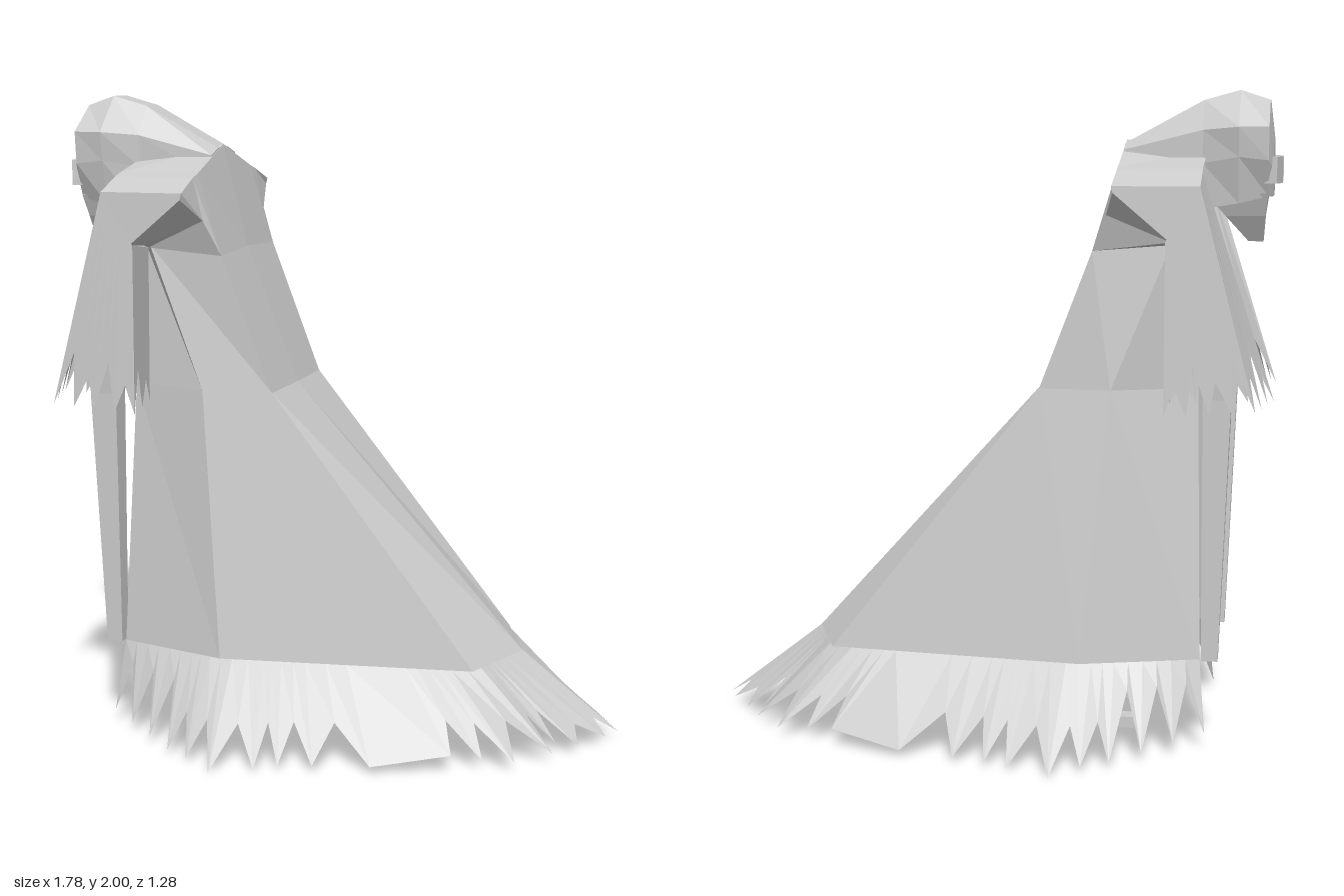
import * as THREE from 'three';

const V = (p) => new THREE.Vector3(...p);
const flip = (p) => [p[0], p[1], -p[2]];
// A half outline (ending on z = 0) completed with its mirror image.
const whole = (half) => [...half, ...half.slice(0, -1).reverse().map(flip)];

function material() {
  return new THREE.MeshStandardMaterial({ color: 0xcccccc, flatShading: true, side: THREE.DoubleSide });
}

function mesh(name, geometry) {
  const m = new THREE.Mesh(geometry, material());
  m.name = name;
  return m;
}

// Skin between rows of points; closed rows wrap round and may be capped.
function loft(rows, closed = false, caps = false) {
  const pos = [];
  const tri = (a, b, c) => pos.push(...a, ...b, ...c);
  const n = rows[0].length;
  for (let r = 0; r < rows.length - 1; r++) {
    for (let i = 0; i < (closed ? n : n - 1); i++) {
      const j = (i + 1) % n;
      const [a, b, c, d] = [rows[r][i], rows[r][j], rows[r + 1][j], rows[r + 1][i]];
      tri(a, b, c);
      tri(a, c, d);
    }
  }
  if (caps) {
    const [s, e] = [rows[0], rows[rows.length - 1]];
    for (let i = 1; i < n - 1; i++) {
      tri(s[0], s[i + 1], s[i]);
      tri(e[0], e[i], e[i + 1]);
    }
  }
  const g = new THREE.BufferGeometry();
  g.setAttribute('position', new THREE.Float32BufferAttribute(pos, 3));
  g.computeVertexNormals();
  return g;
}

// Points along a polyline at the given fractions of its length.
function sample(line, fractions) {
  const path = new THREE.CurvePath();
  for (let i = 1; i < line.length; i++) path.add(new THREE.LineCurve3(V(line[i - 1]), V(line[i])));
  return fractions.map((f) => path.getPointAt(Math.min(f, 0.99999)).toArray());
}

function lengths(line) {
  const d = [0];
  for (let i = 1; i < line.length; i++) d.push(d[i - 1] + V(line[i]).distanceTo(V(line[i - 1])));
  return d.map((x) => x / d[d.length - 1]);
}

const mix = (a, b, t) => a.map((v, i) => v + (b[i] - v) * t);

// Robe: open at the front, with a long train behind.
const hemRing = [[-0.67, 0.27, 0.25], [-0.31, 0.27, 0.36], [0.48, 0.27, 0.27], [0.58, 0.27, 0]];
function robe() {
  return mesh('robe', loft([
    [[-0.63, 1.55, 0.13], [-0.57, 1.55, 0.24], [-0.33, 1.52, 0.25], [-0.33, 1.53, 0]],
    [[-0.65, 1.1, 0.17], [-0.39, 1.1, 0.27], [-0.17, 1.1, 0.245], [-0.165, 1.1, 0]],
    hemRing,
  ].map(whole)));
}

// Torn hem: flared tips with notches pulled back towards the robe.
function hem() {
  const tips = [[-0.69, 0.05, 0.3], [-0.6, 0.04, 0.38], [-0.51, 0.03, 0.46], [-0.42, 0.02, 0.54],
    [-0.34, 0.02, 0.59], [-0.25, 0, 0.64], [-0.12, 0.01, 0.6], [-0.05, 0.02, 0.58], [0.05, 0.02, 0.55],
    [0.22, 0.02, 0.51], [0.45, 0.05, 0.425], [0.54, 0.03, 0.39], [0.635, 0.03, 0.375],
    [0.73, 0.03, 0.26], [0.73, 0.04, 0.2], [0.79, 0.03, 0.165], [0.86, 0.03, 0.06], [0.89, 0.03, 0]];
  const at = lengths(tips);
  const upper = sample(hemRing, at);
  const top = [], low = [];
  tips.forEach((tip, i) => {
    top.push(upper[i]);
    low.push(tip);
    if (i === tips.length - 1 || i === 9) return; // one plain stretch
    const t = mix(upper[i], upper[i + 1], 0.5);
    top.push(t);
    // Deep notches in front, shallow ones at the very tail
    const depth = i < 3 ? 0.7 : i > 14 ? 0.2 : 0.42;
    low.push(mix(mix(tip, tips[i + 1], 0.5), t, depth));
  });
  return mesh('tornHem', loft([whole(top), whole(low)]));
}

// Shoulder yoke, sloping down to both sleeves.
function shoulders() {
  const half = [
    [[-0.66, 1.72, 0.405], [-0.4, 1.72, 0.405], [-0.405, 1.7, 0.405], [-0.57, 1.56, 0.405]],
    [[-0.66, 1.76, 0.29], [-0.405, 1.76, 0.29], [-0.375, 1.63, 0.29], [-0.57, 1.55, 0.29]],
    [[-0.66, 1.77, 0.25], [-0.405, 1.77, 0.25], [-0.33, 1.52, 0.25], [-0.57, 1.54, 0.25]],
  ];
  const middle = [[-0.66, 1.82, 0], [-0.41, 1.85, 0], [-0.33, 1.53, 0], [-0.6, 1.54, 0]];
  const mirrored = half.map((row) => row.map(flip)).reverse();
  return mesh('shoulders', loft([...half, middle, ...mirrored], true, true));
}

// Sleeve: a hanging four-sided tube with a ragged cuff.
function sleeve() {
  const top = [[-0.66, 1.76, 0.27], [-0.66, 1.72, 0.405], [-0.56, 1.56, 0.405], [-0.57, 1.54, 0.25]];
  const cuff = [[-0.88, 1.07, 0.21], [-0.83, 1.06, 0.41], [-0.56, 1.04, 0.41], [-0.57, 1.06, 0.26]];
  const upper = [], lower = [];
  const teeth = [3, 4, 2, 4];
  for (let s = 0; s < 4; s++) {
    const e = (s + 1) % 4, n = teeth[s] * 2;
    for (let i = 0; i < n; i++) {
      const u = mix(top[s], top[e], i / n);
      const c = mix(cuff[s], cuff[e], i / n);
      upper.push(u);
      lower.push(i % 2 ? mix(c, u, 0.16 + 0.1 * ((i + s) % 4 > 1)) : c);
    }
  }
  return mesh('sleeve', loft([upper, lower], true));
}

// Thin arm hanging out of the sleeve.
function arm() {
  const row = (x0, x1, y, z0, z1) => [[x0, y, z0], [x0, y, z1], [x1, y, z1], [x1, y, z0]];
  return mesh('arm', loft([
    row(-0.68, -0.61, 1.5, 0.25, 0.34),
    row(-0.755, -0.67, 1.08, 0.22, 0.295),
    row(-0.725, -0.675, 0.27, 0.22, 0.27),
  ], true, true));
}

function leg() {
  const g = new THREE.Group();
  g.name = 'leg';
  const shin = mesh('shin', new THREE.CylinderGeometry(0.06, 0.035, 1.0, 6));
  shin.position.set(-0.31, 0.56, 0.14);
  const foot = mesh('foot', new THREE.BoxGeometry(0.15, 0.05, 0.07));
  foot.position.set(-0.34, 0.05, 0.155);
  const toe = mesh('toe', new THREE.BoxGeometry(0.1, 0.035, 0.06));
  toe.position.set(-0.43, 0.04, 0.155);
  g.add(shin, foot, toe);
  return g;
}

// Hooded head: cross-sections from the face back to the nape.
function head() {
  const g = new THREE.Group();
  g.name = 'head';
  const section = (x, top, zt, mid, zm, cheek, zc, low, zl) => {
    const side = [[x, top, zt], [x, mid, zm], [x, cheek, zc], [x, low, zl]];
    return [...side, ...side.map(flip).reverse()];
  };
  g.add(mesh('hood', loft([
    section(-0.865, 1.85, 0.04, 1.83, 0.09, 1.76, 0.11, 1.68, 0.07),
    section(-0.85, 1.97, 0.04, 1.89, 0.16, 1.79, 0.15, 1.68, 0.1),
    section(-0.76, 2.0, 0.05, 1.89, 0.17, 1.8, 0.155, 1.66, 0.12),
    section(-0.65, 1.97, 0.05, 1.88, 0.12, 1.78, 0.115, 1.64, 0.1),
    section(-0.41, 1.84, 0.045, 1.82, 0.11, 1.75, 0.11, 1.65, 0.1),
  ], true, true)));
  // Jaw, narrowing to the chin
  const row = (x0, x1, y, w) => [[x0, y, w], [x1, y, w], [x1, y, -w], [x0, y, -w]];
  g.add(mesh('jaw', loft([
    row(-0.85, -0.66, 1.69, 0.11), row(-0.84, -0.72, 1.62, 0.08), row(-0.835, -0.79, 1.54, 0.03),
  ], true, true)));
  for (const s of [1, -1]) {
    const eye = mesh('eye', new THREE.BoxGeometry(0.04, 0.08, 0.07));
    eye.position.set(-0.864, 1.76, 0.09 * s);
    eye.rotation.y = 0.25 * s;
    g.add(eye);
  }
  return g;
}

export function createModel() {
  const model = new THREE.Group();
  model.name = 'robedFigure';
  model.add(robe(), hem(), shoulders(), head());
  // Paired parts, mirrored across z
  for (const s of [1, -1]) {
    const side = new THREE.Group();
    side.name = s > 0 ? 'leftLimbs' : 'rightLimbs';
    side.add(sleeve(), arm(), leg());
    side.scale.z = s;
    model.add(side);
  }
  return model;
}
